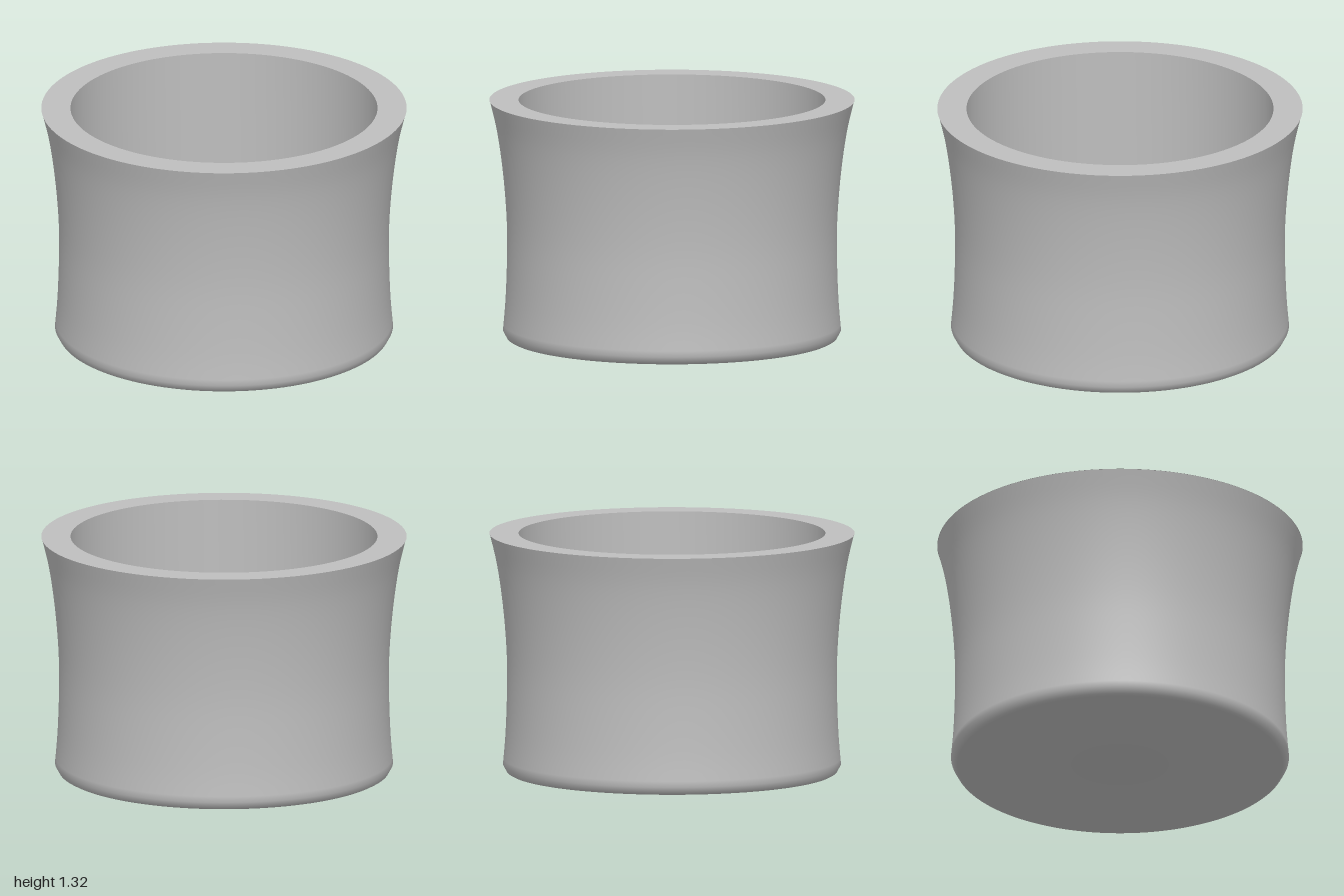
import * as THREE from 'three';
import { toCreasedNormals } from 'three/addons/utils/BufferGeometryUtils.js';

const FLOOR = 0.12, LEDGE = 0.38, TOP = 1.32, BORE = 0.84;

export function createModel() {
  const group = new THREE.Group();
  const grey = new THREE.MeshStandardMaterial({ color: 0xbebebe });
  grey.name = 'grey';

  // Waisted outer wall, drawn from the base chamfer up to the rim
  const waist = new THREE.SplineCurve([
    [0.925, 0.045], [0.912, 0.2], [0.904, 0.4], [0.903, 0.6],
    [0.914, 0.8], [0.935, 1.0], [0.962, 1.17], [0.998, TOP],
  ].map(([x, y]) => new THREE.Vector2(x, y))).getPoints(24);

  // Closed cup section: underside, outer wall, rim, bore, floor
  const section = [
    new THREE.Vector2(0, 0), new THREE.Vector2(0.89, 0), new THREE.Vector2(0.905, 0.008),
    ...waist,
    new THREE.Vector2(1.0, TOP), new THREE.Vector2(BORE, TOP),
    new THREE.Vector2(BORE, FLOOR), new THREE.Vector2(0, FLOOR),
  ];
  const cup = new THREE.Mesh(toCreasedNormals(new THREE.LatheGeometry(section, 128), 0.6), grey);
  cup.name = 'cupBody';
  group.add(cup);

  // C-shaped inner ledge with a straight-sided gap towards +x
  const halfGap = 0.466, inner = 0.593;
  const a = Math.asin(halfGap / BORE), b = Math.asin(halfGap / inner);
  const shape = new THREE.Shape();
  shape.absarc(0, 0, BORE, a, 2 * Math.PI - a, false);
  shape.absarc(0, 0, inner, 2 * Math.PI - b, b, true);
  shape.closePath();

  // Three evenly spaced pin holes
  for (const angle of [Math.PI / 3, Math.PI, -Math.PI / 3]) {
    const hole = new THREE.Path();
    hole.absarc(0.722 * Math.cos(angle), 0.722 * Math.sin(angle), 0.038, 0, 2 * Math.PI, true);
    shape.holes.push(hole);
  }
  const ledgeGeometry = new THREE.ExtrudeGeometry(shape, {
    depth: LEDGE - FLOOR, bevelEnabled: false, curveSegments: 64,
  });
  ledgeGeometry.rotateX(-Math.PI / 2);
  const ledge = new THREE.Mesh(toCreasedNormals(ledgeGeometry, 0.6), grey);
  ledge.name = 'innerLedge';
  ledge.position.y = FLOOR;
  group.add(ledge);

  return group;
}
